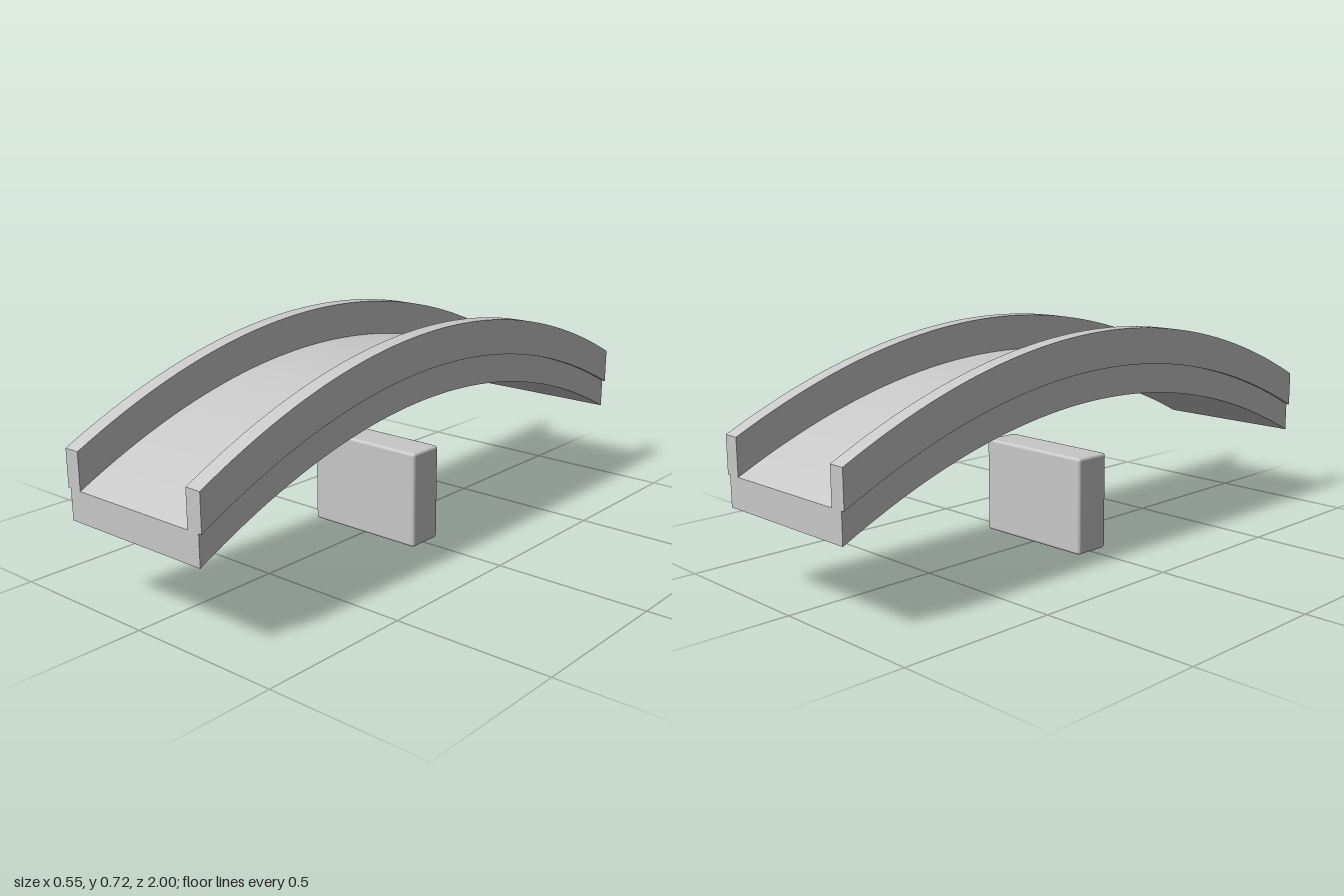
import * as THREE from 'three';
import { RoundedBoxGeometry } from 'three/addons/geometries/RoundedBoxGeometry.js';

const RISE = 0.251; // height of the arch crown above its ends

// A long box along z whose vertices are lifted onto a parabolic arch
function archedBeam(width, endBottom, endTop) {
  const geo = new THREE.BoxGeometry(width, endTop - endBottom, 2, 1, 1, 48);
  geo.translate(0, (endBottom + endTop) / 2, 0);
  const p = geo.attributes.position;
  for (let i = 0; i < p.count; i++) {
    const z = p.getZ(i);
    p.setY(i, p.getY(i) + RISE * (1 - z * z));
  }
  geo.computeVertexNormals();
  return geo;
}

export function createModel() {
  const group = new THREE.Group();
  group.name = 'archedBridge';
  const stone = new THREE.MeshStandardMaterial({ color: 0xc8c8c8 });
  stone.name = 'light grey stone';

  const add = (name, geo, x = 0, y = 0) => {
    const mesh = new THREE.Mesh(geo, stone);
    mesh.name = name;
    mesh.position.set(x, y, 0);
    group.add(mesh);
  };

  // Curved walkway
  add('deck', archedBeam(0.526, 0.255, 0.35), 0, 0);

  // Side walls, slightly overhanging the deck
  for (const [side, name] of [[1, 'leftParapet'], [-1, 'rightParapet']]) {
    add(name, archedBeam(0.053, 0.35, 0.465), side * 0.2475, 0);
  }

  // Free-standing central block with softened edges
  add('pier', new RoundedBoxGeometry(0.42, 0.314, 0.124, 2, 0.01), 0, 0.157);

  return group;
}
